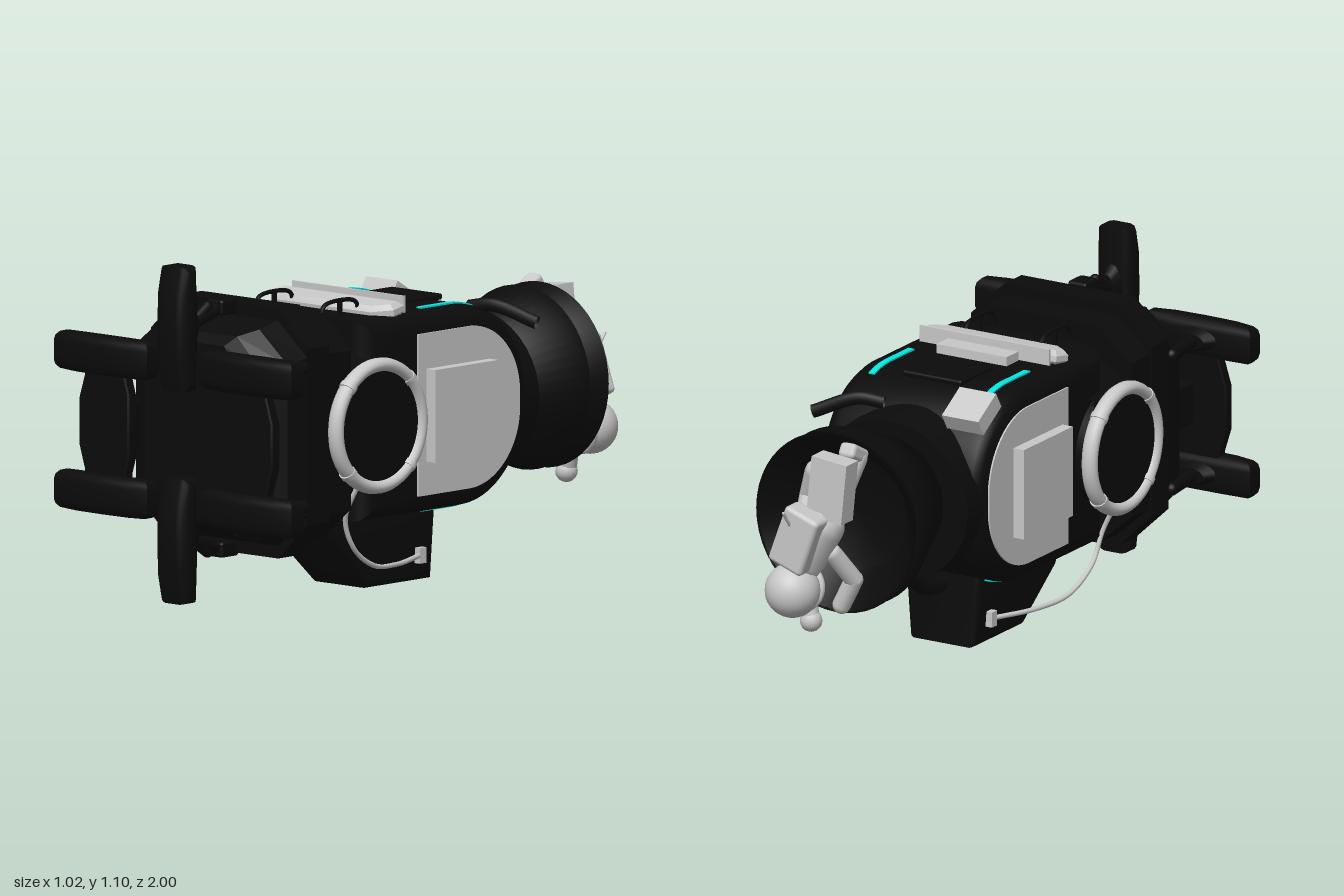
import * as THREE from 'three';
import { toCreasedNormals } from 'three/addons/utils/BufferGeometryUtils.js';
import { RoundedBoxGeometry } from 'three/addons/geometries/RoundedBoxGeometry.js';

const V = (x, y, z) => new THREE.Vector3(x, y, z);
const AXIS_Y = 0.57;

export function createModel() {
  const root = new THREE.Group();
  root.name = 'spacecraft';
  const mat = (name, color, side = THREE.FrontSide) => {
    const m = new THREE.MeshStandardMaterial({ color, side });
    m.name = name;
    return m;
  };
  const black = mat('hull black', 0x0b0b0b, THREE.DoubleSide);
  const grey = mat('light grey', 0xc8c8c8);
  const cyan = mat('cyan light', 0x00eee6);

  const add = (name, geo, material, pos = [0, 0, 0], rot = [0, 0, 0], parent = root) => {
    const m = new THREE.Mesh(geo, material);
    m.name = name;
    m.position.set(...pos);
    m.rotation.set(...rot);
    parent.add(m);
    return m;
  };
  const box = (w, h, d, r = 0) =>
    r ? new RoundedBoxGeometry(w, h, d, 2, r) : new THREE.BoxGeometry(w, h, d);
  const poly = (pts) => new THREE.Shape(pts.map((p) => new THREE.Vector2(...p)));

  // Extrusion centred on its depth; bevel stays inside the given total depth
  const extrude = (shape, depth, bevel = 0, segments = 3) => {
    const g = new THREE.ExtrudeGeometry(shape, {
      depth: depth - 2 * bevel, bevelEnabled: bevel > 0, bevelThickness: bevel,
      bevelSize: bevel, bevelSegments: segments, curveSegments: 20,
    });
    g.translate(0, 0, bevel - depth / 2);
    return toCreasedNormals(g, 0.6);
  };
  // Side profile drawn as (z, y), extruded across x
  const sideExtrude = (...args) => extrude(...args).rotateY(-Math.PI / 2);
  const tube = (pts, r, n = 32) =>
    new THREE.TubeGeometry(new THREE.CatmullRomCurve3(pts.map((p) => V(...p))), n, r, 8);
  // Capsule between two points
  const limb = (name, a, b, r, material, parent = root) => {
    const p = V(...a), q = V(...b);
    const m = add(name, new THREE.CapsuleGeometry(r, p.distanceTo(q), 5, 12), material, [0, 0, 0], [0, 0, 0], parent);
    m.position.copy(p).add(q).multiplyScalar(0.5);
    m.quaternion.setFromUnitVectors(V(0, 1, 0), q.sub(p).normalize());
  };

  // Stepped octagonal nose lofted from sections: z, x scale, y scale
  const oct = [[0.21, 0.398], [-0.21, 0.398], [-0.335, 0.28], [-0.335, -0.28],
    [-0.21, -0.398], [0.21, -0.398], [0.335, -0.28], [0.335, 0.28]];
  const sections = [[0.885, 0.01, 0.01], [0.885, 0.62, 0.72], [0.86, 0.78, 0.8], [0.8, 0.97, 0.85],
    [0.72, 1, 0.9], [0.72, 1, 1], [0.62, 1, 1], [0.62, 0.98, 0.91], [0.51, 0.98, 0.9],
    [0.51, 0.96, 0.64], [0.3, 0.96, 0.64]];
  const pos = [], idx = [];
  sections.forEach(([z, sx, sy], i) => oct.forEach(([x, y], j) => {
    pos.push(x * sx, 0.565 + y * sy, z);
    if (!i) return;
    const a = (i - 1) * 8 + j, b = (i - 1) * 8 + (j + 1) % 8;
    idx.push(a, a + 8, b, b, a + 8, b + 8);
  }));
  let nose = new THREE.BufferGeometry();
  nose.setAttribute('position', new THREE.Float32BufferAttribute(pos, 3));
  nose.setIndex(idx);
  nose = nose.toNonIndexed();
  nose.computeVertexNormals();
  add('noseSection', nose, black);

  // Main hull with rounded stern; its flat sides carry the grey panels
  const roundBack = (zFront, y0 = 0.312, y1 = 0.828) => {
    const s = new THREE.Shape();
    const r = 0.235, zc = -0.06;
    s.moveTo(zFront, y0);
    s.lineTo(zFront, y1);
    s.lineTo(zc, y1);
    s.absarc(zc, y1 - r, r, Math.PI / 2, Math.PI, false);
    s.absarc(zc, y0 + r, r, Math.PI, Math.PI * 1.5, false);
    return s;
  };
  add('mainHull', sideExtrude(roundBack(0.35), 0.6, 0.062), black);
  const collar = new THREE.CylinderGeometry(0.26, 0.27, 0.16, 40).rotateX(-Math.PI / 2).scale(1.12, 1, 1);
  add('sternCollar', collar, black, [0, 0.56, -0.32]);
  add('sternPipe', tube([[0.08, 0.84, -0.3], [0.16, 0.85, -0.33], [0.29, 0.8, -0.39]], 0.022), black);
  add('roofHatch', box(0.22, 0.02, 0.2, 0.008), black, [0, 0.892, -0.05]);

  // Two nested engine bells
  const bell = (pts) => new THREE.LatheGeometry(pts.map((p) => new THREE.Vector2(...p)), 48).rotateX(-Math.PI / 2);
  add('innerBell', bell([[0.01, 0.4], [0.2, 0.4], [0.293, 0.632], [0.24, 0.632]]), black, [0, AXIS_Y, 0]);
  add('outerBell', bell([[0.01, 0.56], [0.19, 0.56], [0.245, 0.63], [0.295, 0.716], [0.285, 0.716], [0.18, 0.58]]),
    black, [0, AXIS_Y, 0]);

  // Keel pack under the hull, narrowed towards the bottom
  const keel = sideExtrude(poly([[0.38, 0.3], [0.38, 0.23], [0.35, 0.175], [0.2, 0.025], [-0.07, 0.025], [-0.07, 0.3]]),
    0.29, 0.02);
  const kp = keel.attributes.position;
  for (let i = 0; i < kp.count; i++) kp.setX(i, kp.getX(i) * (0.82 + Math.min(kp.getY(i), 0.17)));
  add('keelPack', keel, black, [0, 0, 0]);
  add('keelPipe', tube([[0, 0.21, -0.05], [0, 0.2, -0.13], [0, 0.23, -0.22], [0, 0.3, -0.29], [0, 0.4, -0.34]], 0.025), black);

  // Thin light strips following the hull curve
  const stripTop = [], stripLow = [];
  for (let i = 0; i <= 12; i++) {
    const z = 0.075 - i * 0.0196, d = Math.min(z + 0.06, 0);
    const y = 0.593 + Math.sqrt(0.297 ** 2 - d * d);
    stripTop.push([z, y + 0.005]);
    stripLow.unshift([z, y - 0.004]);
  }
  const strip = sideExtrude(poly([...stripTop, ...stripLow]), 0.022);

  for (const s of [-1, 1]) {
    add('roofLightStrip', strip, cyan, [s * 0.215, 0, 0]);
    add('bellyLightStrip', strip, cyan, [s * 0.215, 1.14, 0], [0, 0, Math.PI]);

    // Side panel and raised cover
    add('sidePanel', sideExtrude(roundBack(0.175), 0.009), grey, [s * 0.301, 0, 0]);
    add('sideCover', box(0.045, 0.295, 0.29), grey, [s * 0.322, 0.567, -0.007]);

    // Round side housing with padded ring and clamps
    const ring = new THREE.Group();
    ring.name = 'sideRing';
    ring.position.set(s * 0.355, AXIS_Y, 0.415);
    root.add(ring);
    add('ringHousing', new THREE.CylinderGeometry(0.192, 0.192, 0.14, 48), black, [-s * 0.06, 0, 0], [0, 0, Math.PI / 2], ring);
    add('ringTube', new THREE.TorusGeometry(0.194, 0.022, 14, 64).scale(1, 1, 1.25), grey, [0, 0, 0], [0, Math.PI / 2, 0], ring);
    for (let k = 0; k < 4; k++) {
      const a = Math.PI / 4 + k * Math.PI / 2;
      const clamp = add('ringClamp', new THREE.CylinderGeometry(0.026, 0.026, 0.018, 16).scale(1.15, 1, 1), grey,
        [0, Math.sin(a) * 0.194, Math.cos(a) * 0.194], [-a, 0, 0], ring);
      clamp.rotation.x = Math.PI / 2 - a + Math.PI / 2;
    }

    // Hose from the ring down to the keel
    add('hose', tube([[s * 0.31, 0.38, 0.46], [s * 0.255, 0.27, 0.458], [s * 0.245, 0.17, 0.41],
      [s * 0.23, 0.1, 0.3], [s * 0.2, 0.085, 0.16], [s * 0.14, 0.088, -0.01]], 0.008, 48), grey);
    add('hoseConnector', box(0.03, 0.05, 0.03), grey, [s * 0.135, 0.088, -0.015]);

    // Roof handrail
    add('handrail', tube([[s * 0.14, 0.82, 0.44], [s * 0.14, 0.92, 0.44], [s * 0.14, 0.935, 0.42],
      [s * 0.14, 0.935, 0.3], [s * 0.14, 0.92, 0.28], [s * 0.14, 0.86, 0.28]], 0.007), black);
    add('handrailPost', box(0.012, 0.11, 0.012), black, [s * 0.14, 0.88, 0.36]);

    // Bracket joining the upper and lower side pads
    const half = [[0.41, 0.07], [0.385, 0.15], [0.385, 0.26], [0.22, 0.26], [0.22, 0.15], [0.205, 0.1]];
    const outline = [...half.map(([x, y]) => [s * x, y]), ...half.slice().reverse().map(([x, y]) => [s * x, -y])];
    add('padBracket', extrude(poly(outline), 0.04, 0.005, 1), black, [0, AXIS_Y - 0.002, 0.95]);
    add('bracketArm', box(0.05, 0.14, 0.2, 0.01), black, [s * 0.27, AXIS_Y, 0.87]);
  }

  // Landing pads: slightly bowed, rounded bars on struts
  const bow = poly([[-0.168, 0.002], [-0.168, -0.006], [-0.08, -0.01], [0, -0.01], [0.08, -0.01], [0.168, -0.006],
    [0.168, 0.002], [0.11, 0.016], [0, 0.02], [-0.11, 0.016]].map(([u, w]) => [u, -w]));
  const padGeo = extrude(bow, 0.126, 0.032).rotateX(-Math.PI / 2).scale(1, 1, 0.9);
  padGeo.rotateX(Math.PI / 2).rotateX(-Math.PI / 2);
  const pad = (x, y, turn, base) => {
    const g = new THREE.Group();
    g.name = 'landingPad';
    g.position.set(x, y, 0.956);
    g.rotation.z = turn;
    root.add(g);
    add('padBar', padGeo, black, [0, 0, 0], [0, 0, 0], g);
    add('padHub', new THREE.CylinderGeometry(0.05, 0.1, 0.06, 16).rotateX(-Math.PI / 2).scale(1, 0.5, 1), black,
      [0, 0, -0.04], [0, 0, 0], g);
    limb('padStrut', [x, y, 0.92], base, 0.022, black);
    limb('padBrace', [x, y, 0.9], [base[0] * 0.95, base[1], base[2] + 0.08], 0.018, black);
  };
  for (const s of [-1, 1]) {
    for (const y of [0.787, 0.345]) pad(s * 0.31, y, 0, [s * 0.335, y, 0.74]);
    pad(0, 0.567 + s * 0.337, Math.PI / 2, [0, 0.567 + s * 0.39, 0.74]);
    add('strutFoot', box(0.07, 0.05, 0.08, 0.01), black, [0, 0.567 + s * 0.385, 0.75]);
  }

  // Roof lamp bar with backing plate and box
  const lamp = extrude(poly([[-0.24, -0.035], [0.24, -0.035], [0.245, 0], [0.2, 0.038], [-0.2, 0.038], [-0.245, 0]]), 0.05, 0.016, 1);
  add('lampBar', lamp.rotateX(Math.PI / 2), grey, [0, 0.9, 0.235], [0.15, 0, 0]);
  add('lampBackPlate', box(0.48, 0.07, 0.008), grey, [0, 0.908, 0.168]);
  add('lampBox', box(0.26, 0.04, 0.07), grey, [0, 0.9, 0.123]);
  add('sensorBox', box(0.135, 0.06, 0.125), grey, [-0.215, 0.85, -0.255], [-0.55, 0, 0]);

  // Drifting figure behind the engine, head down
  const figure = new THREE.Group();
  figure.name = 'astronaut';
  root.add(figure);
  const part = (name, geo, p, r) => add(name, geo, grey, p, r, figure);
  const bone = (name, pts, r) => pts.slice(1).forEach((p, i) => limb(name, pts[i], p, r, grey, figure));
  part('helmet', new THREE.SphereGeometry(0.088, 28, 20), [0.045, 0.39, -0.9]);
  part('helmetRim', new THREE.TorusGeometry(0.068, 0.013, 10, 28), [0.045, 0.385, -0.84], [0.2, 0, 0]);
  bone('torso', [[0.03, 0.49, -0.86], [-0.03, 0.6, -0.85]], 0.075);
  part('backpack', box(0.13, 0.2, 0.08, 0.015), [0.01, 0.57, -0.92], [0, 0, 0.35]);
  part('lifeSupportBox', box(0.13, 0.2, 0.07), [-0.075, 0.735, -0.857], [0, 0, 0.1]);
  bone('leg', [[-0.06, 0.62, -0.84], [-0.08, 0.72, -0.79], [-0.1, 0.81, -0.75]], 0.034);
  bone('leg', [[0.03, 0.62, -0.84], [0.06, 0.66, -0.77], [0.02, 0.76, -0.8]], 0.036);
  bone('arm', [[0.085, 0.52, -0.84], [0.09, 0.42, -0.77], [0.05, 0.28, -0.79]], 0.03);
  bone('arm', [[-0.06, 0.51, -0.83], [-0.095, 0.41, -0.76], [-0.05, 0.32, -0.76]], 0.03);
  part('glove', new THREE.SphereGeometry(0.036, 14, 10), [0.045, 0.26, -0.79]);
  part('boot', box(0.06, 0.05, 0.1, 0.015), [-0.1, 0.83, -0.77], [0.5, 0, 0]);
  bone('antenna', [[0.02, 0.62, -0.955], [0.02, 0.672, -0.994]], 0.005);
  return root;
}
